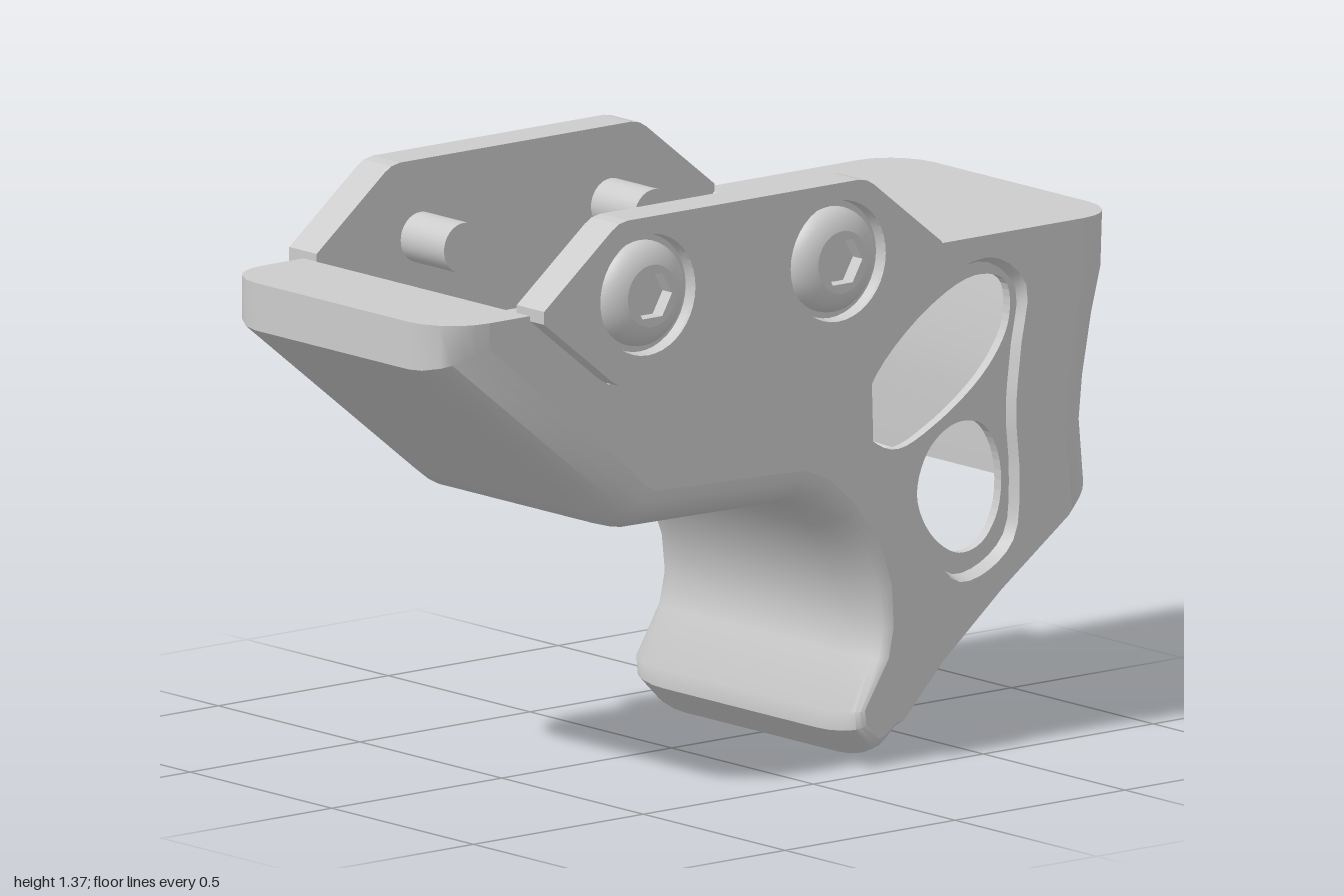
import * as THREE from 'three';
import { toCreasedNormals } from 'three/addons/utils/BufferGeometryUtils.js';

const material = new THREE.MeshStandardMaterial({ color: 0xcccccc, side: THREE.DoubleSide });

// Side profile of the body: z, y, then how far the point moves in (dz, dy) at the sides
const PROFILE = [
  [1, 1.17, -0.13, 0], [1, 1.06, -0.13, 0.05], [0.5, 0.66, -0.06, 0.1], [0.46, 0.63, -0.05, 0.1],
  [0.41, 0.615, -0.03, 0.1], [-0.04, 0.61, -0.02, 0.09], [-0.1, 0.59, -0.03, 0.08],
  [-0.17, 0.54, -0.04, 0.06], [-0.23, 0.46, -0.05, 0.04], [-0.265, 0.38, -0.05, 0.02],
  [-0.28, 0.3, -0.04, 0], [-0.265, 0.23, -0.04, 0], [-0.2, 0.11, -0.035, 0.01],
  [-0.2, 0.065, -0.04, 0.02], [-0.265, 0, -0.01, 0.05], [-0.285, 0.005, -0.01, 0.05],
  [-0.32, 0.05, -0.01, 0.03], [-0.35, 0.082, 0, 0], [-0.52, 0.26, 0, 0], [-0.885, 0.525, 0.05, -0.036],
  [-0.935, 0.575, 0.09, -0.07], [-0.925, 0.7, 0.1, 0], [-0.935, 0.8, 0.1, 0], [-0.965, 0.94, 0.11, 0],
  [-0.995, 1.04, 0.12, 0], [-1, 1.17, 0.12, 0],
  [-0.42, 1.17, 0, 0], [-0.2, 0.98, 0, 0], [0.52, 0.98, 0, 0], [0.75, 1.17, 0, 0],
];
const OPENING = [17, 18]; // profile segments left open between the side walls

const CAVITY = [
  [-0.35, 0.082], [-0.3, 0.2], [-0.32, 0.3], [-0.305, 0.4], [-0.26, 0.5], [-0.21, 0.6], [-0.18, 0.75],
  [-0.19, 0.85], [-0.24, 0.93], [-0.48, 1.11], [-0.6, 1.13], [-0.85, 1.13], [-0.93, 1.08],
  [-0.9, 0.92], [-0.885, 0.8], [-0.88, 0.7], [-0.885, 0.525],
];

const RECESS = [
  [-0.195, 0.78], [-0.22, 0.89], [-0.36, 1.02], [-0.5, 1.1], [-0.62, 1.115], [-0.71, 1.04], [-0.695, 0.9],
  [-0.68, 0.75], [-0.69, 0.6], [-0.675, 0.46], [-0.6, 0.395], [-0.51, 0.38], [-0.44, 0.45],
  [-0.35, 0.61], [-0.24, 0.72],
];
const UPPER_HOLE = [
  [-0.25, 0.77], [-0.28, 0.87], [-0.43, 1.01], [-0.58, 1.075], [-0.67, 1.05],
  [-0.68, 0.96], [-0.62, 0.86], [-0.47, 0.75], [-0.34, 0.705],
];
const LOWER_HOLE = [
  [-0.41, 0.59], [-0.445, 0.69], [-0.52, 0.74], [-0.6, 0.73], [-0.65, 0.65],
  [-0.65, 0.53], [-0.6, 0.455], [-0.53, 0.44], [-0.45, 0.495],
];

function addMesh(parent, name, geometry) {
  const mesh = new THREE.Mesh(geometry, material);
  mesh.name = name;
  parent.add(mesh);
  return mesh;
}

// Smooth closed loop of [z, y] points
function smoothLoop(points) {
  const curve = new THREE.CatmullRomCurve3(points.map(([z, y]) => new THREE.Vector3(0, y, z)), true);
  return curve.getPoints(48).slice(0, -1).map((p) => [p.z, p.y]);
}

// Shapes are drawn in (-z, y) and turned so that their depth runs along +x
const toShape = (points) => new THREE.Shape(points.map(([z, y]) => new THREE.Vector2(-z, y)));
const sideways = (geometry, x) => geometry.rotateY(Math.PI / 2).translate(x, 0, 0);

// Skin running through rings of [x, y, z] points; skip(i, j) leaves a quad out
function skin(rings, closed, skip = () => false) {
  const positions = [];
  const count = rings[0].length;
  for (let j = 0; j < rings.length - 1; j++) {
    for (let i = 0; i < (closed ? count : count - 1); i++) {
      if (skip(i, j)) continue;
      const k = (i + 1) % count;
      const [a, b, c, d] = [rings[j][i], rings[j][k], rings[j + 1][k], rings[j + 1][i]];
      positions.push(...a, ...b, ...c, ...a, ...c, ...d);
    }
  }
  const geometry = new THREE.BufferGeometry();
  geometry.setAttribute('position', new THREE.Float32BufferAttribute(positions, 3));
  return toCreasedNormals(geometry, 0.6);
}

function insetProfile(x) {
  const t = Math.max(0, (Math.abs(x) - 0.27) / 0.13);
  const f = 1 - Math.sqrt(Math.max(0, 1 - t * t));
  return PROFILE.map(([z, y, dz, dy]) => [z + dz * f, y + dy * f]);
}

function createBody() {
  const body = new THREE.Group();
  body.name = 'body';

  // Outer skin with rounded edges, open at the slanted underside
  const half = [0.27, 0.31, 0.35, 0.37, 0.385, 0.395, 0.4];
  const xs = [...half.map((x) => -x).reverse(), ...half];
  const rings = xs.map((x) => insetProfile(x).map(([z, y]) => [x, y, z]));
  const open = (i, j) => OPENING.includes(i) && Math.abs(xs[j] + xs[j + 1]) < 0.69;
  addMesh(body, 'outerShell', skin(rings, true, open));

  // Hollow inside of the grip
  addMesh(body, 'cavity', skin([-0.35, 0.35].map((x) => CAVITY.map(([z, y]) => [x, y, z])), false));

  // Side walls, each with a bevelled recess and two windows
  const recess = smoothLoop(RECESS);
  const inner = recess.map(([z, y]) => [-0.48 + (z + 0.48) * 0.95, 0.76 + (y - 0.76) * 0.96]);
  for (const s of [1, -1]) {
    const side = s > 0 ? 'left' : 'right';
    const wall = toShape(insetProfile(0.4));
    wall.holes.push(toShape(recess));
    addMesh(body, side + 'Wall', sideways(new THREE.ShapeGeometry(wall), s * 0.4));

    const bevel = [[recess, 0.4], [inner, 0.372]].map(([loop, x]) => loop.map(([z, y]) => [s * x, y, z]));
    addMesh(body, side + 'RecessBevel', skin(bevel, true));

    const panel = toShape(CAVITY);
    panel.holes.push(toShape(smoothLoop(UPPER_HOLE)), toShape(smoothLoop(LOWER_HOLE)));
    const panelGeometry = new THREE.ExtrudeGeometry(panel, { depth: 0.024, bevelEnabled: false });
    addMesh(body, side + 'WindowPanel', sideways(panelGeometry, s > 0 ? 0.35 : -0.374));
  }
  return body;
}

// Button-head screw pointing along +x, with a hex socket
function createScrew() {
  const screw = new THREE.Group();
  screw.name = 'screw';
  const head = [[0.142, 0.45], [0.136, 0.42], [0.122, 0.42], [0.12, 0.433], [0.105, 0.45], [0.085, 0.462], [0.072, 0.466]];
  const lathe = new THREE.LatheGeometry(head.map(([r, h]) => new THREE.Vector2(r, h)), 40);
  addMesh(screw, 'screwHead', toCreasedNormals(lathe.rotateZ(-Math.PI / 2), 0.6));

  const ring = new THREE.Shape().absarc(0, 0, 0.072, 0, Math.PI * 2);
  const hex = Array.from({ length: 6 }, (_, i) => i * Math.PI / 3)
    .map((a) => new THREE.Vector2(0.058 * Math.cos(a), 0.058 * Math.sin(a)));
  ring.holes.push(new THREE.Path(hex));
  const socket = new THREE.ExtrudeGeometry(ring, { depth: 0.036, bevelEnabled: false, curveSegments: 20 });
  addMesh(screw, 'hexSocket', sideways(socket, 0.43));

  const shank = new THREE.CylinderGeometry(0.058, 0.058, 0.232, 32);
  addMesh(screw, 'screwShank', shank.rotateZ(-Math.PI / 2).translate(0.316, 0, 0));
  return screw;
}

// Clamp plate with its two screws, built on the +x side around z = 0
function createClamp(name) {
  const clamp = new THREE.Group();
  clamp.name = name;
  const quarter = [[0.585, 0.015], [0.385, 0.175], [0.365, 0.187], [0.34, 0.192]];
  const flip = (sz, sy) => quarter.map(([z, y]) => [sz * z, 1.173 + sy * y]);
  const outline = [...flip(1, 1), ...flip(-1, 1).reverse(), ...flip(-1, -1), ...flip(1, -1).reverse()];
  const shape = toShape(outline);
  for (const z of [-0.28, 0.28]) {
    shape.holes.push(new THREE.Path().absarc(-z, 1.185, 0.14, 0, Math.PI * 2));
    const screw = createScrew();
    screw.position.set(0, 1.185, z);
    clamp.add(screw);
  }
  const plate = new THREE.ExtrudeGeometry(shape, { depth: 0.06, bevelEnabled: false, curveSegments: 20 });
  addMesh(clamp, 'plate', sideways(plate, 0.39));
  // Solid inner face of the plate
  const backing = new THREE.ExtrudeGeometry(toShape(outline), { depth: 0.037, bevelEnabled: false });
  addMesh(clamp, 'plateBacking', sideways(backing, 0.353));
  clamp.position.z = 0.165;
  return clamp;
}

export function createModel() {
  const model = new THREE.Group();
  model.name = 'angledHandStop';
  const rightClamp = createClamp('rightClamp');
  rightClamp.rotation.y = Math.PI;
  model.add(createBody(), createClamp('leftClamp'), rightClamp);
  return model;
}
